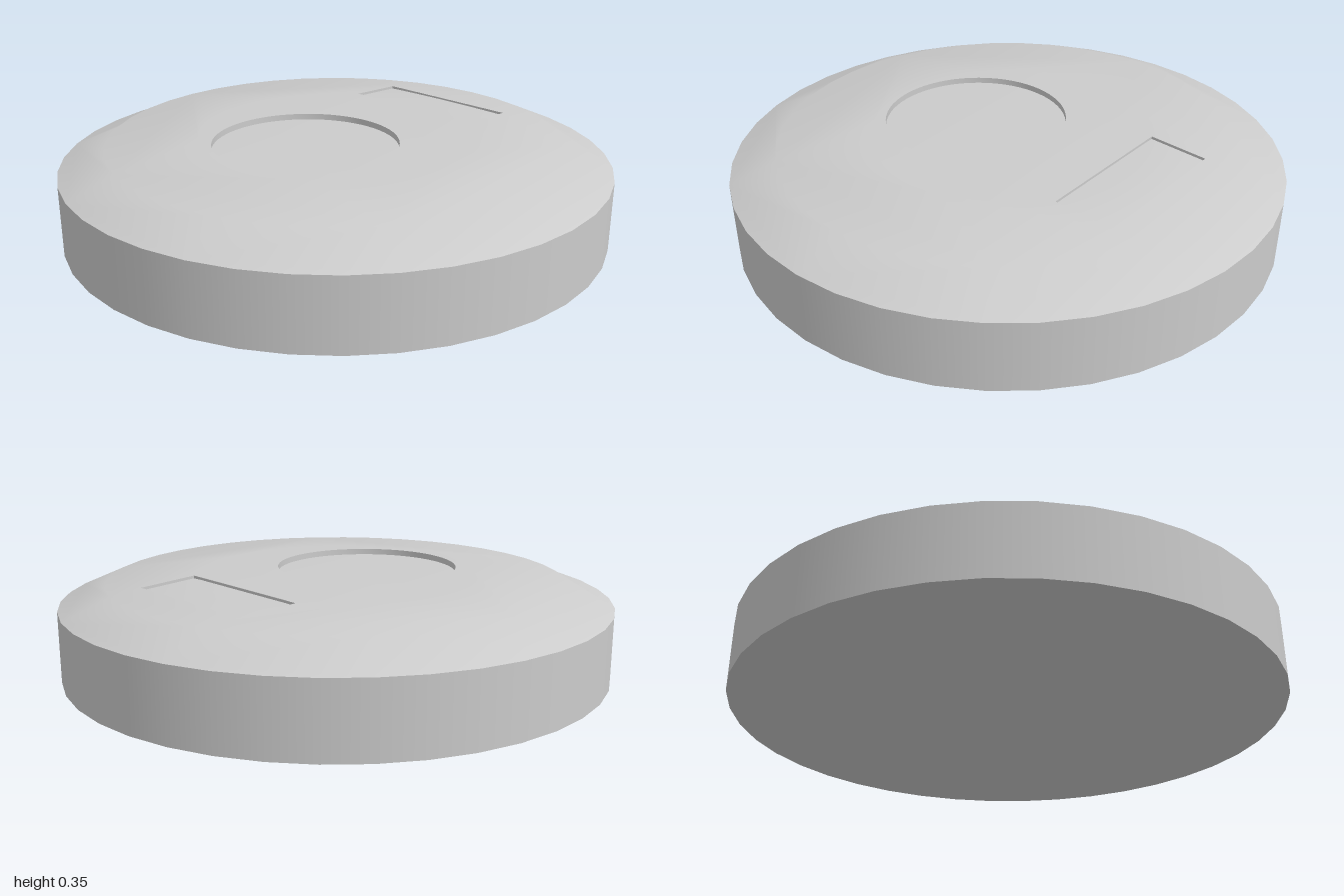
import * as THREE from 'three';
import { toCreasedNormals } from 'three/addons/utils/BufferGeometryUtils.js';

const SIDES = 40;
const RIM_Y = 0.255;

// Dome profile: radius, height, slope used for the smooth normal
const DOME = [[0, 0.347, 0], [0.5, 0.347, 0.03], [0.835, 0.327, 0.24], [1, RIM_Y, 0.43]];

function domeAt(r) {
  let i = 1;
  while (i < DOME.length - 1 && r > DOME[i][0]) i++;
  const [a, b] = [DOME[i - 1], DOME[i]];
  const t = Math.min(1, (r - a[0]) / (b[0] - a[0]));
  return { y: THREE.MathUtils.lerp(a[1], b[1], t), slope: THREE.MathUtils.lerp(a[2], b[2], t) };
}

function arc(radius, from = 0, to = Math.PI * 2, steps = SIDES, cy = 0) {
  return Array.from({ length: steps }, (_, i) => {
    const a = from + (to - from) * i / steps;
    return new THREE.Vector2(radius * Math.cos(a), cy + radius * Math.sin(a));
  });
}

// Lays a flat outline (plan y points to the back) over the dome
function drape(geometry, depth = 0) {
  geometry.rotateX(-Math.PI / 2);
  const { position, normal } = geometry.attributes;
  const n = new THREE.Vector3();
  for (let i = 0; i < position.count; i++) {
    const x = position.getX(i), z = position.getZ(i), r = Math.hypot(x, z);
    const { y, slope } = domeAt(r);
    position.setY(i, y - depth);
    n.set(r ? x / r * slope : 0, 1, r ? z / r * slope : 0).normalize();
    normal.setXYZ(i, n.x, n.y, n.z);
  }
  return geometry;
}

function panel(outline, hole) {
  const shape = new THREE.Shape(outline);
  if (hole) shape.holes.push(new THREE.Path(hole));
  return drape(new THREE.ShapeGeometry(shape));
}

// Vertical wall hanging from the dome along a closed outline
function recessWall(outline, depth) {
  const pos = [], index = [], n = outline.length;
  outline.forEach((p, i) => {
    const y = domeAt(p.length()).y, a = 2 * i, b = 2 * ((i + 1) % n);
    pos.push(p.x, y, -p.y, p.x, y - depth, -p.y);
    index.push(a, b, a + 1, b, b + 1, a + 1);
  });
  const g = new THREE.BufferGeometry();
  g.setAttribute('position', new THREE.Float32BufferAttribute(pos, 3));
  g.setIndex(index);
  return toCreasedNormals(g, Math.PI / 5);
}

export function createModel() {
  const group = new THREE.Group();
  const material = new THREE.MeshStandardMaterial({ color: 0xcccccc, side: THREE.DoubleSide });
  const add = (name, geometry) => {
    const mesh = new THREE.Mesh(geometry, material);
    mesh.name = name;
    group.add(mesh);
  };

  // Side wall and flat underside
  add('sideWall', new THREE.CylinderGeometry(1, 1, RIM_Y, SIDES, 1, true).translate(0, RIM_Y / 2, 0));
  add('underside', new THREE.CircleGeometry(1, SIDES).rotateX(Math.PI / 2));

  // Outlines of the two recesses
  const dial = { radius: 0.335, y: -0.155, depth: 0.022 };
  const slot = { x: 0.285, near: 0.435, far: 0.655, depth: 0.01 };
  const dialOutline = arc(dial.radius, 0, Math.PI * 2, 64, dial.y);
  const corners = [[slot.x, slot.near], [slot.x, slot.far], [-slot.x, slot.far], [-slot.x, slot.near]]
    .map(([x, y]) => new THREE.Vector2(x, y));

  // Top: bevel, sloped ring around the slot, flat centre around the dial
  const cut = Math.asin(slot.near / 0.5);
  const centre = arc(0.5, Math.PI - cut, Math.PI * 2 + cut, SIDES - 1);
  centre.push(new THREE.Vector2(0.5 * Math.cos(cut), slot.near));
  add('rimBevel', panel(arc(1), arc(0.835)));
  add('topRing', panel(arc(0.835), [...centre, ...corners]));
  add('topCentre', panel(centre, dialOutline));

  // Round recess
  add('dialWall', recessWall(dialOutline, dial.depth));
  add('dialFloor', drape(new THREE.ShapeGeometry(new THREE.Shape(dialOutline)), dial.depth));

  // Rectangular recess, its floor following the dome
  const slotFloor = new THREE.PlaneGeometry(slot.x * 2, slot.far - slot.near, 12, 6)
    .translate(0, (slot.near + slot.far) / 2, 0);
  add('slotWall', recessWall(corners, slot.depth));
  add('slotFloor', drape(slotFloor, slot.depth));

  return group;
}
